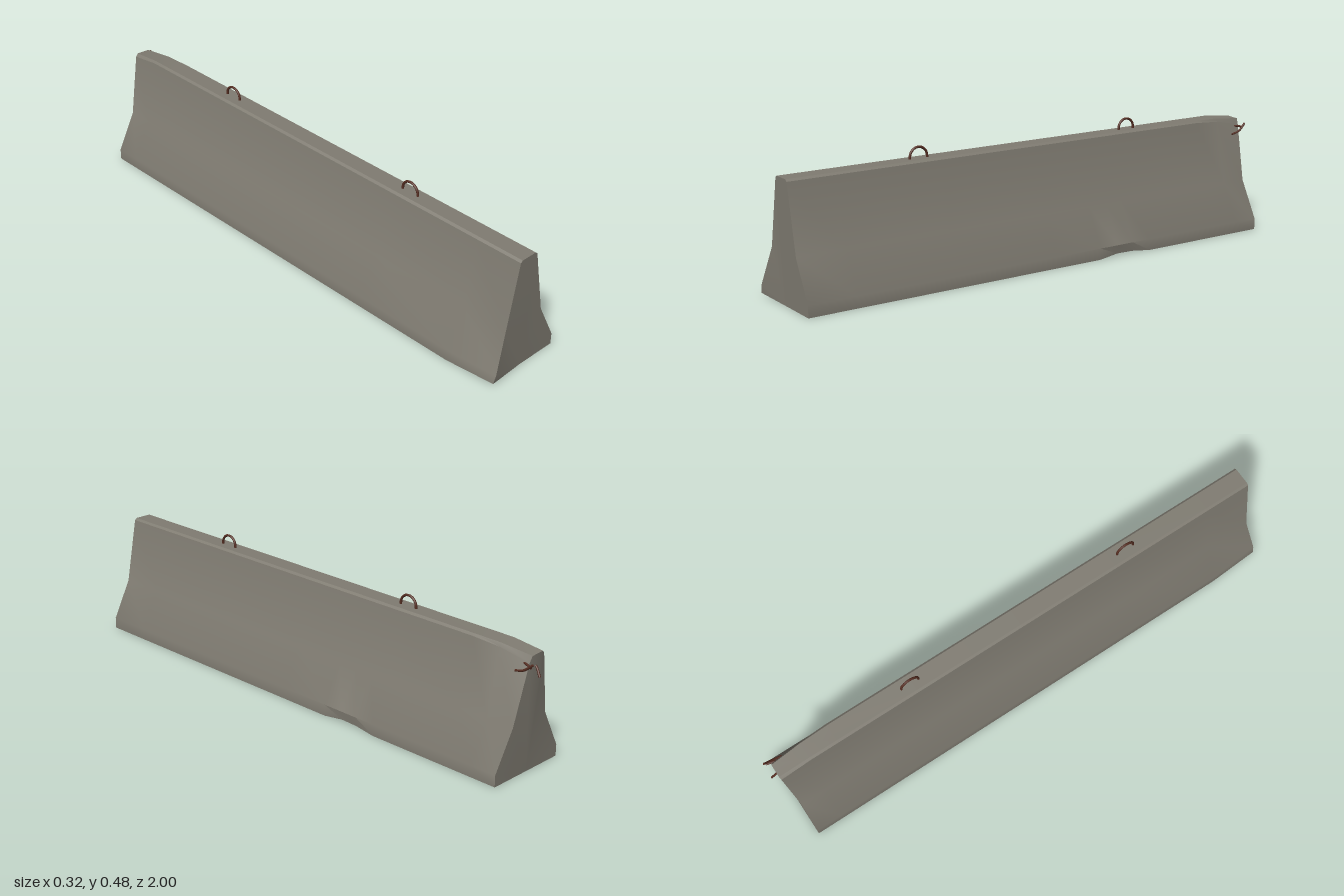
import * as THREE from 'three';
import { toCreasedNormals } from 'three/addons/utils/BufferGeometryUtils.js';

const concrete = new THREE.MeshStandardMaterial({ color: 0x807c72 });
concrete.name = 'concrete';
const rust = new THREE.MeshStandardMaterial({ color: 0x562e22 });
rust.name = 'rusty steel';

// Cross-section, counter-clockwise seen from the front, starting at the bottom centre
const half = [[0.16, 0], [0.16, 0.042], [0.087, 0.183], [0.04, 0.425], [0.032, 0.432]];
const profile = [[0, 0], ...half, ...half.slice().reverse().map(([x, y]) => [-x, y])];
const rows = [0.98, 0.8, 0.4, 0, -0.2, -0.28, -0.35, -0.43, -0.75, -0.86, -0.96];

// Chipped and worn corners: 'row,point' -> [x, y, z]
const chips = {
  '0,9': [-0.142, 0.04, 0.998],
  '0,10': [-0.15, 0.01, 0.995],
  '5,1': [0.156, 0.01, -0.28],
  '6,1': [0.157, 0.009, -0.35],
  '9,4': [0.037, 0.418, -0.86],
  '9,5': [0.029, 0.43, -0.86],
  '10,3': [0.083, 0.183, -0.962],
  '10,4': [0.032, 0.395, -0.975],
  '10,5': [0.022, 0.417, -0.978],
  '10,6': [-0.03, 0.42, -0.978],
  '10,7': [-0.04, 0.41, -0.976],
};

function bodyGeometry() {
  const n = profile.length;
  const positions = [];
  const index = [];
  rows.forEach((z, r) => profile.forEach(([x, y], i) => {
    positions.push(...(chips[`${r},${i}`] ?? [x, y, z]));
  }));
  // skin between neighbouring sections
  for (let r = 0; r < rows.length - 1; r++) {
    for (let i = 0; i < n; i++) {
      const a = r * n + i, b = r * n + (i + 1) % n;
      index.push(a, a + n, b, b, a + n, b + n);
    }
  }
  // end faces, fanned from the bottom centre
  const last = (rows.length - 1) * n;
  for (let i = 1; i < n - 1; i++) {
    index.push(0, i, i + 1, last, last + i + 1, last + i);
  }
  const geometry = new THREE.BufferGeometry();
  geometry.setAttribute('position', new THREE.Float32BufferAttribute(positions, 3));
  geometry.setIndex(index);
  return toCreasedNormals(geometry, 0.55);
}

// Steel bar following a few points
function bar(name, points, radius) {
  const curve = new THREE.CatmullRomCurve3(points.map((p) => new THREE.Vector3(...p)));
  const group = new THREE.Group();
  group.name = name;
  group.add(new THREE.Mesh(new THREE.TubeGeometry(curve, 24, radius, 8), rust));
  // closed bar ends
  for (const t of [0, 1]) {
    const cap = new THREE.Mesh(new THREE.CircleGeometry(radius, 8), rust);
    cap.name = name + 'End';
    cap.position.copy(curve.getPoint(t));
    const out = curve.getTangent(t).multiplyScalar(t ? 1 : -1);
    cap.quaternion.setFromUnitVectors(new THREE.Vector3(0, 0, 1), out);
    group.add(cap);
  }
  group.children[0].name = name + 'Rod';
  return group;
}

export function createModel() {
  const model = new THREE.Group();
  model.name = 'concreteBarrier';

  const body = new THREE.Mesh(bodyGeometry(), concrete);
  body.name = 'barrierBody';
  model.add(body);

  // Lifting loops on the top
  for (const z of [0.465, -0.437]) {
    const arch = [[0, 0.42, z + 0.034]];
    for (let k = 0; k <= 8; k++) {
      const a = (k / 8) * Math.PI;
      arch.push([0, 0.438 + 0.033 * Math.sin(a), z + 0.034 * Math.cos(a)]);
    }
    arch.push([0, 0.42, z - 0.034]);
    model.add(bar('liftingLoop', arch, 0.0045));
  }

  // Exposed reinforcement at the chipped back corner
  model.add(bar('exposedBarSide', [[0.047, 0.362, -0.932], [0.049, 0.372, -0.965], [0.045, 0.398, -0.998]], 0.004));
  model.add(bar('exposedBarEnd', [[0, 0.392, -0.955], [0, 0.372, -0.98], [0.006, 0.345, -0.998]], 0.004));
  model.add(bar('exposedBarUpper', [[0.025, 0.392, -0.94], [0.036, 0.39, -0.965], [0.043, 0.385, -0.99]], 0.004));

  return model;
}
